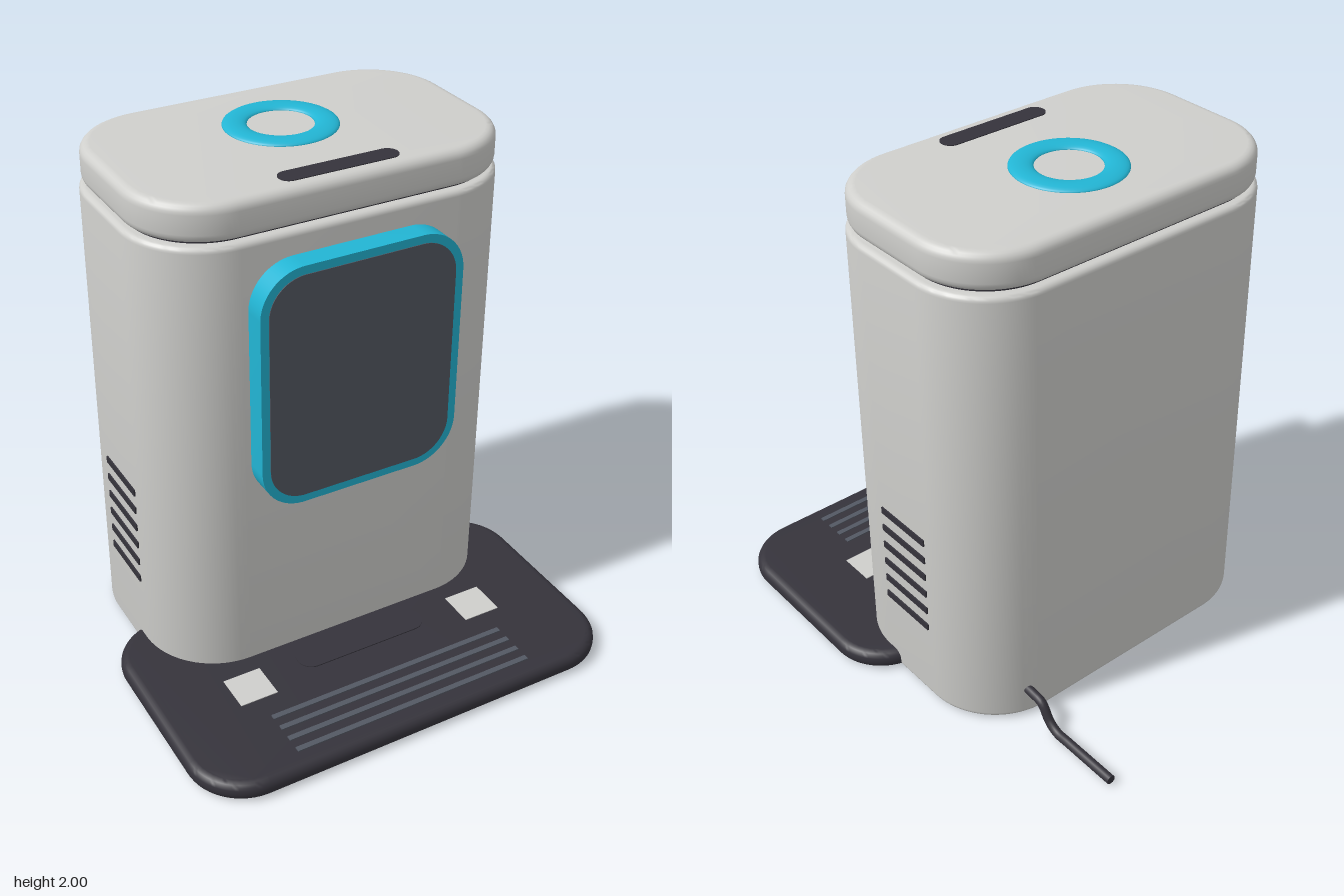
import * as THREE from 'three';
import { toCreasedNormals } from 'three/addons/utils/BufferGeometryUtils.js';

const paint = (name, color) => {
  const m = new THREE.MeshStandardMaterial({ color });
  m.name = name;
  return m;
};

// Rounded rectangle centred on the origin
function roundedRect(w, h, r) {
  const x = w / 2, y = h / 2, s = new THREE.Shape();
  s.absarc(x - r, y - r, r, 0, Math.PI / 2);
  s.absarc(-x + r, y - r, r, Math.PI / 2, Math.PI);
  s.absarc(-x + r, -y + r, r, Math.PI, Math.PI * 1.5);
  s.absarc(x - r, -y + r, r, Math.PI * 1.5, Math.PI * 2);
  s.closePath();
  return s;
}

// Rounded plate, z from 0 to depth, with outer size w x h including its bevel
function plate(w, h, r, depth, bevel = 0) {
  const geo = new THREE.ExtrudeGeometry(roundedRect(w - 2 * bevel, h - 2 * bevel, r - bevel), {
    depth: depth - 2 * bevel, bevelEnabled: bevel > 0, bevelThickness: bevel,
    bevelSize: bevel, bevelSegments: 5, curveSegments: 12,
  });
  geo.translate(0, 0, bevel);
  return toCreasedNormals(geo, 0.7);
}

// The same plate lying flat, rising from y = 0
const slab = (...size) => plate(...size).rotateX(-Math.PI / 2);

export function createModel() {
  const model = new THREE.Group();
  model.name = 'countertopAppliance';
  const shell = paint('light grey shell', 0xcfcfcc);
  const dark = paint('dark plastic', 0x35333b);
  const teal = paint('teal trim', 0x22b5d4);
  const glass = paint('slate panel', 0x535863);

  const add = (name, geo, mat, x, y, z) => {
    const mesh = new THREE.Mesh(geo, mat);
    mesh.name = name;
    mesh.position.set(x, y, z);
    model.add(mesh);
    return mesh;
  };

  // Tray in front, tower body, seam and lid
  add('baseTray', slab(1.74, 0.98, 0.22, 0.075, 0.033), dark, 0, 0, 0.48);
  add('body', slab(1.44, 0.89, 0.3, 1.832, 0.022), shell, 0, 0.006, -0.075);
  add('lidSeam', slab(1.36, 0.81, 0.26, 0.06), dark, 0, 1.81, -0.075);
  add('lid', slab(1.42, 0.875, 0.29, 0.14, 0.035), shell, 0, 1.846, -0.073);

  // Lid ring and slot
  const ring = new THREE.TorusGeometry(0.165, 0.045, 20, 64).rotateX(Math.PI / 2).scale(1, 0.33, 1);
  add('lidRing', ring, teal, 0, 1.985, -0.14);
  add('lidSlot', slab(0.46, 0.08, 0.039, 0.008), dark, 0, 1.981, 0.27);

  // Front window with its raised frame
  add('windowFrame', plate(0.8, 0.95, 0.17, 0.115), teal, 0, 1.275, 0.34);
  add('windowPanel', plate(0.736, 0.886, 0.14, 0.006), glass, 0, 1.275, 0.452);

  // Side vents and tray pads, mirrored
  for (const side of [-1, 1]) {
    for (let i = 0; i < 6; i++) {
      add('sideVent', new THREE.BoxGeometry(0.016, 0.027, 0.255), dark, side * 0.718, 0.352 + i * 0.08, -0.073);
    }
    add('trayPad', new THREE.BoxGeometry(0.152, 0.008, 0.148), shell, side * 0.497, 0.074, 0.518);
  }

  // Raised pill and grille bars on the tray
  add('trayPill', slab(0.55, 0.12, 0.058, 0.008), dark, 0, 0.071, 0.48);
  for (let i = 0; i < 4; i++) {
    add('grilleBar', new THREE.BoxGeometry(1, 0.01, 0.022), glass, 0, 0.075, 0.7 + i * 0.061);
  }

  // Power cord trailing from the back
  const cord = new THREE.CatmullRomCurve3([
    [0.125, -0.48], [0.122, -0.54], [0.113, -0.585], [0.05, -0.632],
    [0.026, -0.675], [0.025, -0.74], [0.025, -0.97],
  ].map(([y, z]) => new THREE.Vector3(0, y, z)), false, 'centripetal');
  add('powerCord', new THREE.TubeGeometry(cord, 48, 0.018, 12), dark, 0.497, 0, 0);
  add('cordEnd', new THREE.CircleGeometry(0.018, 12).rotateY(Math.PI), dark, 0.497, 0.025, -0.97);

  return model;
}
